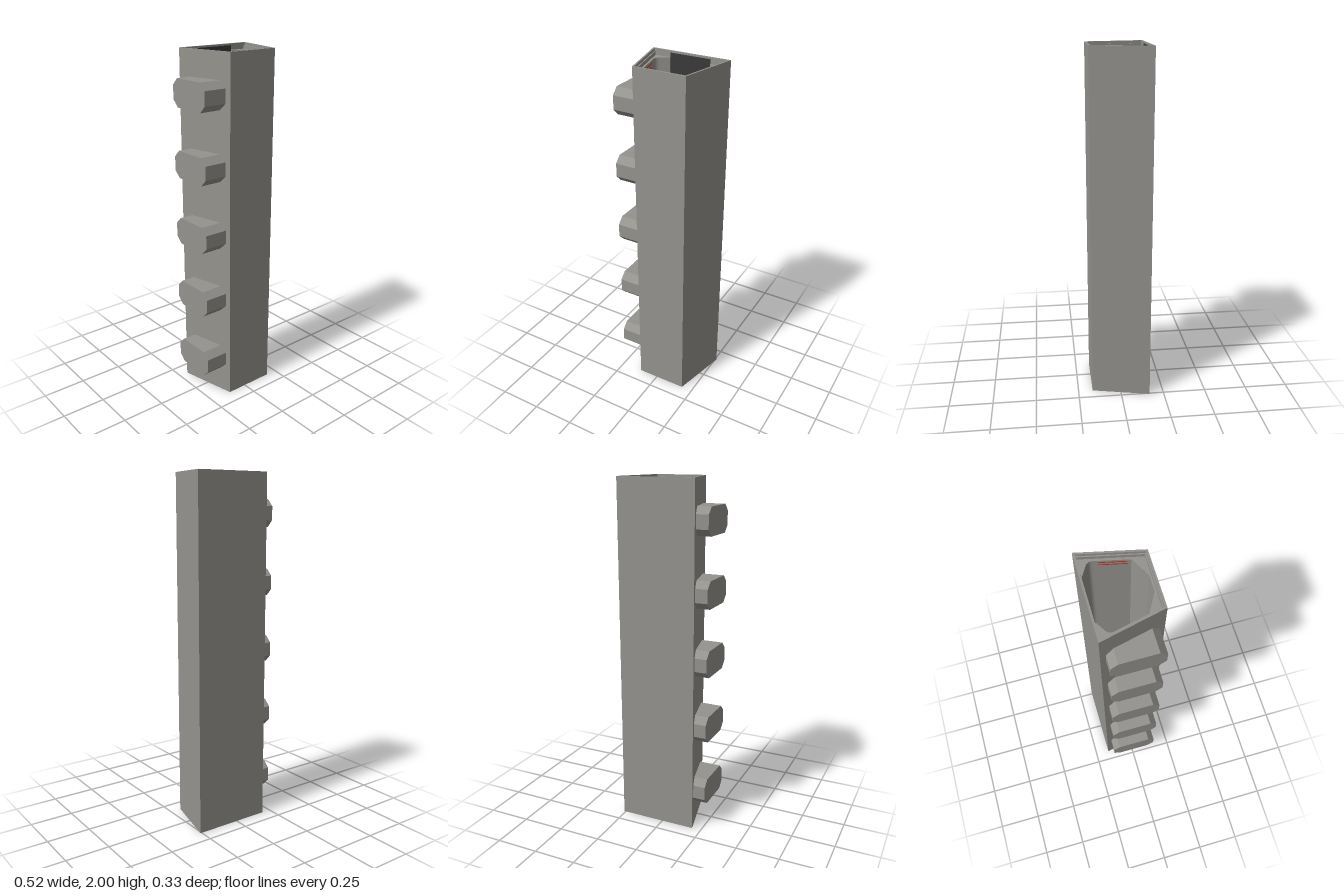
import * as THREE from 'three';

const HEIGHT = 2;
const BACK = -0.166, FRONT = 0.166;
const makeMaterial = (color) => new THREE.MeshStandardMaterial({ color, flatShading: true });
const grey = makeMaterial(0x95938e);
const dark = makeMaterial(0x3a3a3a);
const red = makeMaterial(0xc03020);

// Slanted side walls: x of the outer face at depth z
const rightX = (z) => THREE.MathUtils.mapLinear(z, BACK, FRONT, -0.195, -0.118);
const leftX = (z) => THREE.MathUtils.mapLinear(z, BACK, FRONT, 0.259, 0.183);

const toPoints = (pairs) => pairs.map(([a, b]) => new THREE.Vector2(a, b));

// Trapezoid corners, inset from the outer faces
function trapezoid(inset, back = BACK + inset) {
  const front = FRONT - inset;
  return toPoints([
    [rightX(back) + inset, back], [leftX(back) - inset, back],
    [leftX(front) - inset, front], [rightX(front) + inset, front],
  ]);
}

// Extrude an (x, z) shape upright between two heights
function upright(name, shape, bottom, top, material = grey) {
  const geometry = new THREE.ExtrudeGeometry(shape, {
    depth: top - bottom, bevelEnabled: false, curveSegments: 6,
  });
  geometry.rotateX(Math.PI / 2).translate(0, top, 0);
  const mesh = new THREE.Mesh(geometry, material);
  mesh.name = name;
  return mesh;
}

// Thin shell running the full height
function makeShell() {
  const shape = new THREE.Shape(trapezoid(0));
  shape.holes.push(new THREE.Path(trapezoid(0.01)));
  return upright('shell', shape, 0, HEIGHT);
}

// Narrow step inside the rim, open towards the back panel
function makeStep() {
  const outer = trapezoid(0.006, BACK + 0.006);
  const inner = trapezoid(0.016, BACK + 0.006);
  const shape = new THREE.Shape([
    outer[0], inner[0], inner[3], inner[2], inner[1], outer[1], outer[2], outer[3],
  ]);
  return upright('innerStep', shape, 0.015, HEIGHT - 0.015);
}

// Lining with filled corners around the central passage
function makeLining() {
  const [backRight, backLeft, frontLeft, frontRight] = trapezoid(0.007);
  const shape = new THREE.Shape();
  shape.moveTo(backRight.x, backRight.y);
  shape.lineTo(-0.085, backRight.y);
  shape.lineTo(-0.085, -0.15);
  shape.lineTo(-0.133, -0.12);
  shape.quadraticCurveTo(-0.153, -0.107, -0.148, -0.085);
  shape.lineTo(-0.108, 0.087);
  shape.lineTo(-0.011, 0.141);
  shape.lineTo(0.075, 0.141);
  shape.lineTo(0.173, 0.087);
  shape.lineTo(0.212, -0.085);
  shape.quadraticCurveTo(0.217, -0.107, 0.197, -0.12);
  shape.lineTo(0.149, -0.15);
  shape.lineTo(0.149, backLeft.y);
  for (const p of [backLeft, frontLeft, frontRight]) shape.lineTo(p.x, p.y);
  return upright('lining', shape, 0.035, HEIGHT - 0.035);
}

// Dark sheet on the inside of the back wall
function makeBackSheet() {
  const z = BACK + 0.01;
  const shape = new THREE.Shape(toPoints([
    [-0.085, z - 0.002], [0.149, z - 0.002], [0.149, z + 0.001], [-0.085, z + 0.001],
  ]));
  return upright('backSheet', shape, 0.01, HEIGHT - 0.01, dark);
}

// Pairs of fine red lines on both lining walls, near both ends
function makeLines() {
  const lines = new THREE.Group();
  lines.name = 'redLines';
  const walls = [
    [[-0.142, -0.06], [-0.112, 0.07]],
    [[0.2063, -0.06], [0.1769, 0.07]],
  ];
  for (const [[x0, z0], [x1, z1]] of walls) {
    const shape = new THREE.Shape(toPoints([
      [x0 - 0.001, z0], [x0 + 0.001, z0], [x1 + 0.001, z1], [x1 - 0.001, z1],
    ]));
    for (const y of [0.05, 0.07, HEIGHT - 0.07, HEIGHT - 0.05]) {
      lines.add(upright('redLine', shape, y - 0.003, y + 0.003, red));
    }
  }
  return lines;
}

// Bevelled block whose inner end follows the slanted wall
function makePegGeometry() {
  const w = 0.1365, h = 0.077, bevel = 0.038;
  const shape = new THREE.Shape(toPoints([
    [-w, -h + bevel], [-w + bevel, -h], [w - bevel, -h], [w, -h + bevel],
    [w, h - bevel], [w - bevel, h], [-w + bevel, h], [-w, h - bevel],
  ]));
  const geometry = new THREE.ExtrudeGeometry(shape, { depth: 1, bevelEnabled: false });
  geometry.rotateY(-Math.PI / 2);
  const position = geometry.attributes.position;
  for (let i = 0; i < position.count; i++) {
    const x = position.getX(i) > -0.5 ? rightX(position.getZ(i)) + 0.004 : -0.26;
    position.setX(i, x);
  }
  geometry.computeVertexNormals();
  return geometry;
}

export function createModel() {
  const model = new THREE.Group();
  model.name = 'hollowColumn';
  model.add(makeShell(), makeStep(), makeLining(), makeBackSheet(), makeLines());

  // Row of pegs up the right side
  const pegs = new THREE.Group();
  pegs.name = 'sidePegs';
  const pegGeometry = makePegGeometry();
  for (let i = 0; i < 5; i++) {
    const peg = new THREE.Mesh(pegGeometry, grey);
    peg.name = 'sidePeg' + (i + 1);
    peg.position.y = 0.224 + i * 0.3885;
    pegs.add(peg);
  }
  model.add(pegs);
  return model;
}
